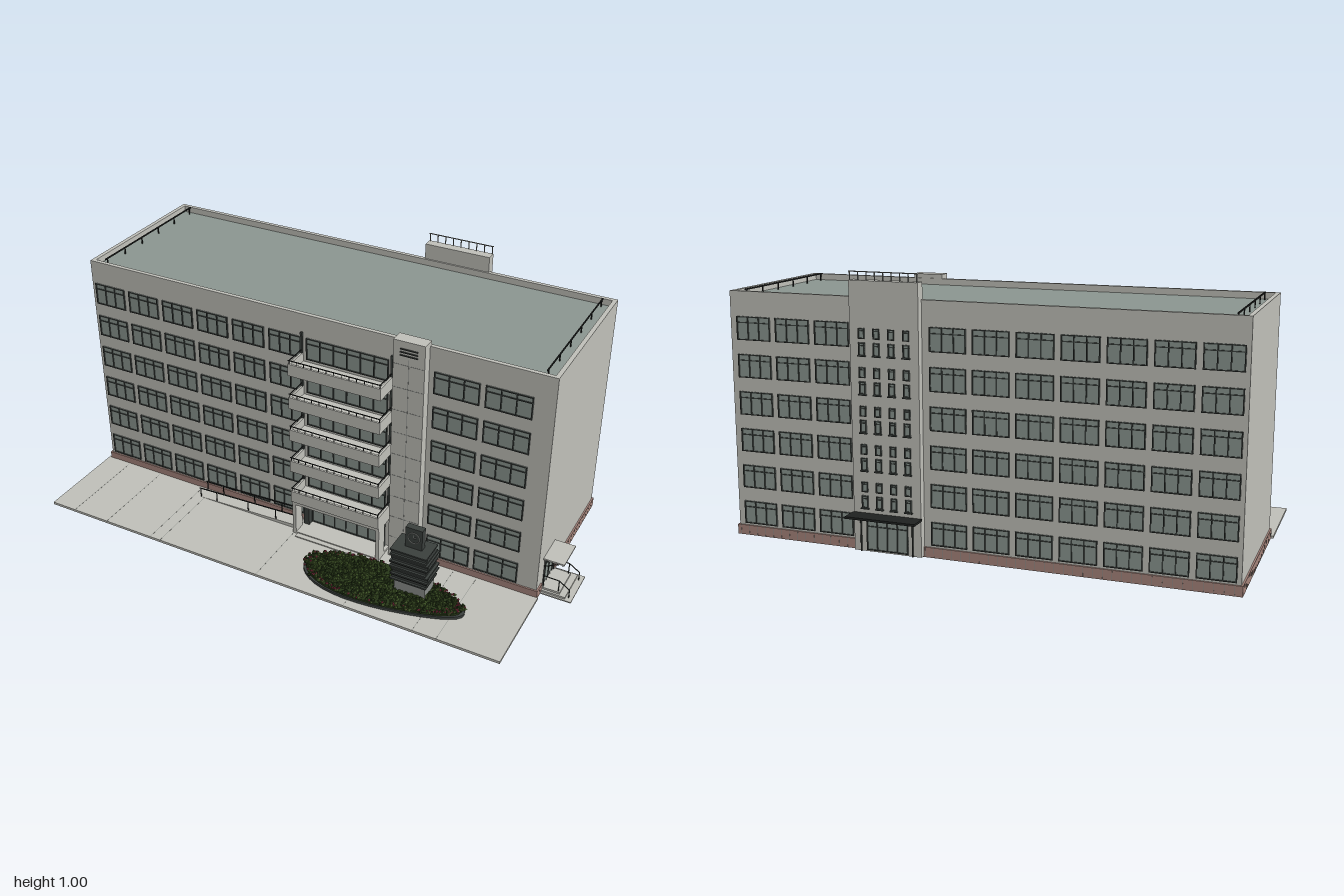
import * as THREE from 'three';
import { mergeGeometries } from 'three/addons/utils/BufferGeometryUtils.js';

const mat = (name, color) => Object.assign(new THREE.MeshStandardMaterial({ color }), { name });

export function createModel() {
  const M = {
    wall: mat('wall grey', 0xc0c0b9), glass: mat('grey green', 0x8b9690), frame: mat('dark frame', 0x3b403d),
    black: mat('black metal', 0x1f2120), brick: mat('brick pink', 0xa6857c), mid: mat('mid grey', 0x8a8e8a),
    leaf: mat('leaf green', 0x3f5426), dark: mat('shade green', 0x263617), red: mat('flower red', 0x96324a),
  };
  const root = new THREE.Group();
  root.name = 'officeBuilding';

  // Geometry is gathered by part name and merged into one mesh each
  const parts = new Map();
  const put = (name, material, geo) => {
    if (!parts.has(name)) parts.set(name, { material, geos: [] });
    parts.get(name).geos.push(geo.index ? geo.toNonIndexed() : geo);
  };
  const box = (name, m, x0, x1, y0, y1, z0, z1) => put(name, M[m],
    new THREE.BoxGeometry(x1 - x0, y1 - y0, z1 - z0).translate((x0 + x1) / 2, (y0 + y1) / 2, (z0 + z1) / 2));
  const bar = (name, m, a, b, r = 0.002) => {
    const A = new THREE.Vector3(...a), B = new THREE.Vector3(...b), d = B.clone().sub(A);
    const q = new THREE.Quaternion().setFromUnitVectors(new THREE.Vector3(0, 1, 0), d.clone().normalize());
    put(name, M[m], new THREE.CylinderGeometry(r, r, d.length(), 6).applyQuaternion(q)
      .translate(...A.add(B).multiplyScalar(0.5).toArray()));
  };

  // Main block, roof and parapet
  const X0 = -0.985, X1 = 0.88, Z0 = -0.452, Z1 = 0.172, TOP = 0.912;
  box('mainBlock', 'wall', X0, X1, 0.004, 0.885, Z0, Z1);
  box('roofDeck', 'glass', X0 + 0.015, X1 - 0.015, 0.885, 0.888, Z0 + 0.015, Z1 - 0.015);
  for (const [a, b, c, d] of [[X0, X1, Z1 - 0.016, Z1], [X0, X1, Z0, Z0 + 0.016],
    [X0, X0 + 0.016, Z0 + 0.016, Z1 - 0.016], [X1 - 0.016, X1, Z0 + 0.016, Z1 - 0.016]])
    box('parapet', 'wall', a, b, 0.885, TOP, c, d);
  for (const x of [-0.935, 0.83]) {
    box('roofRail', 'black', x - 0.002, x + 0.002, 0.912, 0.917, -0.43, 0.145);
    for (let z = -0.42; z < 0.15; z += 0.11) box('roofRail', 'black', x - 0.002, x + 0.002, 0.887, 0.913, z, z + 0.004);
  }
  box('lobbyUnderside', 'black', -0.09, 0.29, 0.001, 0.004, Z0 + 0.01, Z1 - 0.01);

  // Brick plinth with vertical joints
  const P = 0.006;
  for (const [a, b, c, d] of [[X0 - P, -0.07, Z1, Z1 + P], [0.3, X1 + P, Z1, Z1 + P], [X0 - P, X1 + P, Z0 - P, Z0],
    [X0 - P, X0, Z0, Z1], [X1, X1 + P, Z0, 0.005], [X1, X1 + P, 0.125, Z1]])
    box('brickPlinth', 'brick', a, b, 0, 0.037, c, d);
  for (let z = -0.43; z < 0.17; z += 0.034) for (const x of [X0 - P, X1 + P])
    box('plinthJoints', 'mid', x - 0.0006, x + 0.0006, 0.001, 0.036, z, z + 0.0015);
  for (let x = X0 + 0.02; x < X1; x += 0.034)
    box('plinthJoints', 'mid', x, x + 0.0015, 0.001, 0.036, Z0 - P - 0.0006, Z0 - P + 0.0006);

  // Framed window on a wall facing s (+1 front, -1 back)
  const win = (x0, x1, y0, y1, z, s, panes = 3, t = 0.004) => {
    const slab = (n, m, a, b, c, d, depth) => box(n, m, a, b, c, d, Math.min(z, z + s * depth), Math.max(z, z + s * depth));
    slab('windowGlass', 'glass', x0, x1, y0, y1, 0.002);
    for (let i = 0; i <= panes; i++) {
      const x = x0 + (x1 - x0 - t) * i / panes;
      slab('windowFrames', 'frame', x, x + t, y0, y1, 0.006);
    }
    for (const y of [y0, y0 + (y1 - y0) * 0.72, y1 - t]) slab('windowFrames', 'frame', x0, x1, y, y + t * 0.9, 0.0055);
  };
  for (let f = 0; f < 6; f++) {
    const y = 0.045 + 0.138 * f;
    for (let i = 0; i < 6; i++) win(-0.97 + 0.1542 * i, -0.837 + 0.1542 * i, y, y + 0.086, Z1, 1);
    for (const x of [0.45, 0.637]) win(x, x + 0.167, y, y + 0.086, Z1, 1);
    if (f) win(-0.045, 0.28, y, y + 0.086, Z1, 1, 6);
    for (let i = 0; i < 7; i++) win(-0.97 + 0.156 * i, -0.836 + 0.156 * i, y, y + 0.086, Z0, -1);
    for (let i = 0; i < 3; i++) win(0.405 + 0.157 * i, 0.54 + 0.157 * i, y, y + 0.086, Z0, -1);
  }

  // Front balconies with rails and side fins
  const bx0 = -0.067, bx1 = 0.297, bz = 0.27;
  for (let k = 0; k < 5; k++) {
    const y = 0.163 + 0.137 * k;
    box('balconies', 'wall', bx0, bx1, y, y + 0.012, Z1, bz);
    box('balconies', 'wall', bx0, bx1, y + 0.012, y + 0.047, bz - 0.008, bz);
    for (const x of [bx0, bx1 - 0.008]) {
      box('balconies', 'wall', x, x + 0.008, y + 0.012, y + 0.047, Z1, bz - 0.008);
      bar('balconyRails', 'black', [x + 0.004, y + 0.06, Z1], [x + 0.004, y + 0.06, bz - 0.004]);
      box('balconyFins', 'frame', x, x + 0.008, y + 0.047, y + 0.13, Z1, Z1 + 0.008);
    }
    bar('balconyRails', 'black', [bx0, y + 0.06, bz - 0.004], [bx1, y + 0.06, bz - 0.004]);
    for (let i = 0; i <= 12; i++) {
      const x = bx0 + 0.004 + (bx1 - bx0 - 0.008) * i / 12;
      bar('balconyRails', 'black', [x, y + 0.045, bz - 0.004], [x, y + 0.06, bz - 0.004], 0.0015);
    }
  }

  // Front entrance: portal, glazed doors, steps
  for (const x of [bx0, bx1 - 0.014]) box('portalSides', 'wall', x, x + 0.014, 0.01, 0.146, 0.213, 0.26);
  for (const x of [-0.053, 0.26]) box('portalColumns', 'frame', x, x + 0.023, 0.018, 0.146, 0.178, 0.2);
  box('portalLintel', 'wall', bx0, bx1, 0.146, 0.163, Z1, 0.262);
  win(-0.03, 0.26, 0.02, 0.138, Z1, 1, 6);
  box('entranceSteps', 'wall', bx0, bx1, 0.01, 0.018, Z1, 0.26);
  box('entranceSteps', 'wall', bx0 + 0.02, bx1 - 0.02, 0.009, 0.014, 0.26, 0.28);

  // Access ramp as a wedge, with handrail
  const wedge = new THREE.Shape([[-0.51, 0.01], [bx0, 0.01], [bx0, 0.025]].map(p => new THREE.Vector2(...p)));
  put('ramp', M.wall, new THREE.ExtrudeGeometry(wedge, { depth: 0.055, bevelEnabled: false }).translate(0, 0, 0.18));
  for (const z of [0.184, 0.233]) {
    bar('rampRail', 'black', [-0.51, 0.05, z], [-0.075, 0.07, z], 0.0025);
    for (const x of [-0.505, -0.43, -0.285, -0.16, -0.078])
      bar('rampRail', 'black', [x, 0.01, z], [x, 0.05 + (x + 0.51) * 0.046, z]);
  }

  // Front pylon with cladding joints and vents
  box('frontPylon', 'wall', 0.312, 0.43, 0.01, 0.928, 0.16, 0.21);
  for (let y = 0.1; y < 0.85; y += 0.092) box('pylonJoints', 'mid', 0.312, 0.43, y, y + 0.0015, 0.21, 0.2106);
  box('pylonJoints', 'mid', 0.37, 0.3715, 0.01, 0.86, 0.21, 0.2106);
  for (let i = 0; i < 3; i++) box('pylonVents', 'frame', 0.338, 0.404, 0.873 + 0.012 * i, 0.877 + 0.012 * i, 0.21, 0.214);

  // Rear stair tower: narrow windows, sills, roof rail, door and canopy
  const tx0 = 0.128, tx1 = 0.388, tz = -0.48;
  box('stairTower', 'wall', tx0, tx1, 0.004, 0.972, tz, -0.442);
  for (let f = 0; f < 5; f++) for (let c = 0; c < 4; c++) {
    const x = tx0 + 0.034 + 0.056 * c, y = 0.165 + 0.137 * f;
    win(x, x + 0.024, y, y + 0.045, tz, -1, 1);
    win(x, x + 0.024, y + 0.058, y + 0.095, tz, -1, 1);
    box('towerSills', 'frame', x - 0.003, x + 0.027, y - 0.004, y, tz - 0.009, tz);
  }
  for (let i = 0; i < 9; i++) {
    const x = tx0 + 0.004 + 0.0315 * i;
    bar('towerRail', 'mid', [x, 0.97, tz + 0.003], [x, 1.002, tz + 0.003]);
  }
  bar('towerRail', 'mid', [tx0, 1.002, tz + 0.003], [tx1, 1.002, tz + 0.003]);
  box('rearCanopy', 'black', tx0 - 0.004, tx1 + 0.004, 0.138, 0.146, -0.546, tz);
  win(tx0 + 0.05, tx1 - 0.05, 0.01, 0.13, tz, -1, 4);
  for (const x of [tx0 + 0.03, tx1 - 0.03]) bar('canopyPosts', 'frame', [x, 0.005, -0.487], [x, 0.138, -0.487], 0.003);

  // Side door on the left wall, porch, canopy and handrails
  box('sideDoorGlass', 'glass', X1, X1 + 0.003, 0.022, 0.135, 0.021, 0.106);
  for (const z of [0.018, 0.062, 0.104]) box('sideDoorFrame', 'frame', X1, X1 + 0.006, 0.02, 0.137, z, z + 0.003);
  for (const y of [0.107, 0.134]) box('sideDoorFrame', 'frame', X1, X1 + 0.006, y, y + 0.003, 0.018, 0.107);
  box('sidePorch', 'wall', X1, 0.952, 0, 0.02, 0.003, 0.125);
  box('sidePorch', 'wall', X1, 0.975, 0, 0.012, -0.01, 0.133);
  box('sidePorch', 'wall', X1, 1, 0, 0.005, -0.02, 0.14);
  box('sideCanopy', 'wall', X1, 0.958, 0.142, 0.148, 0.003, 0.125);
  for (let i = 0; i < 5; i++) box('canopySlats', 'black', X1 + 0.004 + 0.016 * i, X1 + 0.01 + 0.016 * i, 0.138, 0.142, 0.005, 0.123);
  for (const z of [0.009, 0.119]) {
    bar('porchRails', 'frame', [0.885, 0.11, z], [0.94, 0.14, z]);
    bar('porchRails', 'mid', [0.885, 0.068, z], [0.945, 0.066, z]);
    bar('porchRails', 'mid', [0.945, 0.066, z], [0.985, 0.04, z]);
    for (const [x, h] of [[0.888, 0.068], [0.945, 0.066], [0.985, 0.04]]) bar('porchRails', 'mid', [x, 0.004, z], [x, h, z]);
  }

  // Plaza paving and joints
  box('plaza', 'wall', -1, 0.89, 0, 0.01, Z1, 0.54);
  for (const x of [-0.895, -0.74, -0.535, -0.49, -0.065, 0.295, 0.565, 0.655])
    box('plazaJoints', 'mid', x, x + 0.0015, 0.01, 0.0104, 0.19, 0.54);

  // Egg-shaped flower bed
  const egg = (k = 1) => {
    const p = [];
    for (let i = 0; i < 40; i++) {
      const a = i / 40 * Math.PI * 2, c = Math.cos(a), s = Math.sin(a);
      p.push(new THREE.Vector2(0.378 + 0.318 * c * k, 0.388 + s * k * (0.113 - 0.022 * c) * (1 - 0.12 * s * c)));
    }
    return p;
  };
  const bed = (name, m, k, y, h) => put(name, M[m], new THREE.ExtrudeGeometry(
    new THREE.Shape(egg(k).reverse().map(v => new THREE.Vector2(v.x, -v.y))), { depth: h, bevelEnabled: false })
    .rotateX(-Math.PI / 2).translate(0, y, 0));
  bed('bedKerb', 'frame', 1, 0.01, 0.01);
  bed('bedShrubs', 'dark', 0.96, 0.02, 0.008);
  let seed = 7;
  const rnd = () => (seed = (seed * 16807) % 2147483647) / 2147483647;
  for (let i = 0; i < 1100; i++) {
    const edge = i < 330, r = edge ? 0.88 + 0.09 * rnd() : 0.9 * Math.sqrt(rnd());
    const v = egg(r)[Math.floor(rnd() * 40)], red = edge && rnd() < 0.45;
    const [name, m] = red ? ['flowers', 'red'] : rnd() < 0.55 ? ['leaves', 'leaf'] : ['shadedLeaves', 'dark'];
    put(name, M[m], new THREE.OctahedronGeometry(red ? 0.005 : 0.007 + 0.003 * rnd()).rotateY(rnd() * 3).rotateX(rnd())
      .translate(v.x + (rnd() - 0.5) * 0.025 * r, 0.028 + rnd() * 0.006 + (red ? 0.003 : 0), v.y + (rnd() - 0.5) * 0.01));
  }

  // Stacked-book monument with clock pillar
  box('monumentBase', 'mid', 0.425, 0.545, 0.015, 0.078, 0.315, 0.393);
  for (let i = 0; i < 5; i++) {
    const y = 0.077 + 0.027 * i, o = [0, 0.006, -0.004, 0.005, -0.002][i], w = 0.004 * (i % 2);
    box('bookPages', 'mid', 0.42 + o, 0.545 + o, y + 0.004, y + 0.022, 0.312, 0.392 + w);
    for (const h of [0, 0.021]) box('bookCovers', 'frame', 0.411 + o, 0.551 + o, y + h, y + h + 0.006, 0.303 - w, 0.402 + w);
    box('bookCovers', 'frame', 0.413 + o, 0.549 + o, y + 0.006, y + 0.021, 0.386 + w, 0.394 + w);
  }
  box('clockPillar', 'frame', 0.45, 0.515, 0.212, 0.296, 0.338, 0.364);
  put('clockFace', M.mid, new THREE.TorusGeometry(0.022, 0.002, 6, 24).translate(0.4825, 0.257, 0.365));
  for (const [dx, dy] of [[0, 0.016], [0.011, 0.004]])
    bar('clockHands', 'mid', [0.4825, 0.257, 0.365], [0.4825 + dx, 0.257 + dy, 0.365], 0.001);

  for (const [name, { material, geos }] of parts) {
    const mesh = new THREE.Mesh(mergeGeometries(geos), material);
    mesh.name = name;
    root.add(mesh);
  }
  return root;
}
